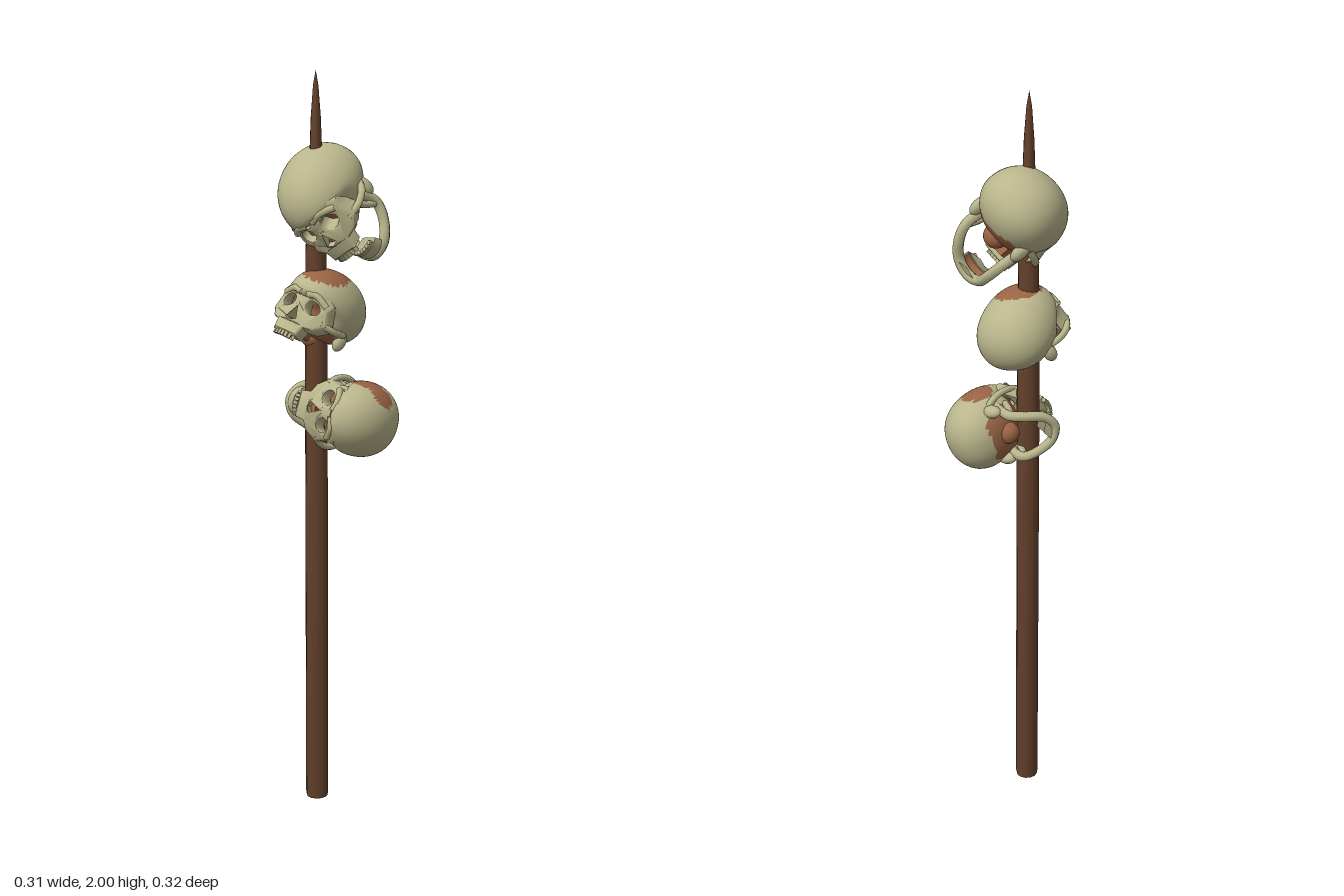
import * as THREE from 'three';
import { toCreasedNormals } from 'three/addons/utils/BufferGeometryUtils.js';

const V = (x, y, z) => new THREE.Vector3(x, y, z);
const mat = (name, color) => {
  const m = new THREE.MeshStandardMaterial({ color });
  m.name = name;
  return m;
};

function add(parent, name, geometry, material, x = 0, y = 0, z = 0) {
  const mesh = new THREE.Mesh(geometry, material);
  mesh.name = name;
  mesh.position.set(x, y, z);
  parent.add(mesh);
  return mesh;
}

// Moves every vertex by a rule
function warp(geometry, rule) {
  const p = geometry.attributes.position, v = V(0, 0, 0);
  for (let i = 0; i < p.count; i++) {
    rule(v.fromBufferAttribute(p, i));
    p.setXYZ(i, v.x, v.y, v.z);
  }
  geometry.computeVertexNormals();
  return geometry;
}

const tube = (points, r, n = 20) =>
  new THREE.TubeGeometry(new THREE.CatmullRomCurve3(points), n, r, 8, false);

// Splits the faces into material 0 and material 1 by a test on their centres
function paint(geometry, test) {
  const g = geometry.toNonIndexed(), p = g.attributes.position;
  const c = V(0, 0, 0), v = V(0, 0, 0);
  for (let i = 0; i < p.count; i += 3) {
    c.set(0, 0, 0);
    for (let k = 0; k < 3; k++) c.add(v.fromBufferAttribute(p, i + k));
    g.addGroup(i, 3, test(c.divideScalar(3)) ? 1 : 0);
  }
  return g;
}

// Braincase: slightly boxy, wide at the back, flat underneath, cut in behind the eyes
function craniumGeometry(patches) {
  const box = t => Math.sign(t) * Math.abs(t) ** 0.93;
  const g = warp(new THREE.SphereGeometry(1, 48, 32), v => {
    v.x = box(v.x) * 0.101 * (1 - 0.12 * v.z);
    v.y *= v.y < 0 ? 0.087 : 0.1 - 0.006 * v.z;
    v.z = box(v.z) * 0.124;
    if (v.y < -0.005 && v.z > 0) v.z *= 1 - 0.35 * Math.min(1, (-v.y - 0.005) / 0.025);
  });
  return paint(g, c => {
    const underside = c.y < -0.062 && c.z > -0.07;
    const sockets = c.y < -0.012 && c.z > 0.045 && Math.abs(c.x) < 0.07;
    const jag = 0.015 * Math.sin(c.x * 310 + c.z * 170) * Math.sin(c.y * 260);
    const d = c.clone().normalize();
    return underside || sockets || patches.some(p => d.dot(p.dir) + jag > p.cos);
  });
}

// Face plate with eye and nose openings, curved around the head
function faceGeometry() {
  const half = [[0.05, 0.012], [0.074, -0.008], [0.07, -0.03], [0.08, -0.062],
    [0.06, -0.084], [0.036, -0.09], [0.031, -0.117]];
  const outline = [...half, ...half.map(([x, y]) => [-x, y]).reverse()];
  const shape = new THREE.Shape(outline.map(([x, y]) => new THREE.Vector2(x, y)));
  for (const s of [-1, 1]) {
    const eye = new THREE.Path();
    eye.absellipse(s * 0.037, -0.036, 0.025, 0.022, 0, Math.PI * 2, false, -s * 0.3);
    shape.holes.push(eye);
  }
  shape.holes.push(new THREE.Path([[0, -0.046], [0.015, -0.08], [0, -0.086], [-0.015, -0.08]]
    .map(([x, y]) => new THREE.Vector2(x, y))));
  const g = new THREE.ExtrudeGeometry(shape, { depth: 0.034, bevelThickness: 0.006,
    bevelSize: 0.005, bevelSegments: 2, curveSegments: 7 });
  warp(g, v => {
    v.z += 0.075 - 5 * v.x * v.x + (v.y < -0.055 ? (-0.055 - v.y) * 0.05 : 0);
  });
  return toCreasedNormals(g, 0.7);
}

// Row of teeth along a curved arch
function addTeeth(parent, material, y, z) {
  for (let i = -3; i <= 3; i++) {
    const x = i * 0.0092;
    add(parent, 'tooth', new THREE.BoxGeometry(0.008, 0.014, 0.01), material,
      x, y, z - 12 * x * x).rotation.y = i * 0.2;
  }
}

function makeJaw(bone, flesh, open) {
  const jaw = new THREE.Group();
  jaw.name = 'lowerJaw';
  jaw.position.set(0, -0.05, 0);
  jaw.rotation.x = open;
  const side = s => [V(s * 0.068, 0, 0), V(s * 0.067, -0.065, 0.008),
    V(s * 0.058, -0.09, 0.04), V(s * 0.036, -0.102, 0.088)];
  add(jaw, 'jawBone', tube([...side(-1), V(0, -0.104, 0.106), ...side(1).reverse()], 0.013, 44), bone);
  for (const s of [-1, 1]) {
    add(jaw, 'jawHinge', new THREE.SphereGeometry(0.015, 10, 8), bone, s * 0.068, 0, 0);
    add(jaw, 'jawBlade', tube([V(s * 0.066, -0.065, 0.012), V(s * 0.064, -0.03, 0.024),
      V(s * 0.064, 0, 0.028)], 0.009, 8), bone);
  }
  // Upright chin wall with its gum on the inside
  for (const [name, r, m] of [['chin', 0.045, bone], ['lowerGum', 0.038, flesh]])
    add(jaw, name, new THREE.CylinderGeometry(r, r, 0.04, 16, 1, name === 'lowerGum', -1.1, 2.2), m,
      0, -0.09, 0.07);
  addTeeth(jaw, bone, -0.065, 0.109);
  return jaw;
}

function makeSkull(name, { at, forward, up, scale = 1, open, patches = [] }, mats) {
  const { bone, flesh } = mats;
  const skull = new THREE.Group();
  skull.name = name;
  const f = V(...forward).normalize();
  const s = V(...up).cross(f).normalize();
  const basis = new THREE.Matrix4().makeBasis(s, f.clone().cross(s), f);
  skull.quaternion.setFromRotationMatrix(basis);
  skull.position.set(...at);
  skull.scale.setScalar(scale);
  const inverse = skull.quaternion.clone().invert();
  const local = patches.map(([x, y, z, cos]) =>
    ({ dir: V(x, y, z).normalize().applyQuaternion(inverse), cos }));

  add(skull, 'cranium', craniumGeometry(local), [bone, flesh]);
  add(skull, 'face', faceGeometry(), bone);
  add(skull, 'palate', new THREE.BoxGeometry(0.054, 0.03, 0.06), flesh, 0, -0.092, 0.06);
  add(skull, 'skullBase', new THREE.SphereGeometry(0.03, 14, 10), flesh, 0, -0.08, -0.015);
  addTeeth(skull, bone, -0.126, 0.111);
  for (const k of [-1, 1]) {
    add(skull, 'cheekArch', tube([V(k * 0.068, -0.062, 0.085), V(k * 0.09, -0.06, 0.05),
      V(k * 0.094, -0.052, 0.01), V(k * 0.082, -0.045, -0.02)], 0.009, 12), bone);
    add(skull, 'earBone', new THREE.SphereGeometry(0.02, 10, 8), bone, k * 0.075, -0.062, -0.03)
      .scale.set(0.8, 1.4, 1);
    add(skull, 'browRidge', tube([V(k * 0.008, -0.008, 0.115), V(k * 0.035, -0.003, 0.11),
      V(k * 0.066, -0.018, 0.091)], 0.009, 8), bone);
  }
  if (open !== undefined) skull.add(makeJaw(bone, flesh, open));
  return skull;
}

export function createModel() {
  const group = new THREE.Group();
  group.name = 'skullPike';
  const mats = { bone: mat('bone', 0xb9b58c), flesh: mat('driedFlesh', 0x9a6445) };
  mats.bone.side = mats.flesh.side = THREE.DoubleSide;
  const wood = mat('wood', 0x63402b);

  // Sharpened pole
  const profile = [[0, 0], [0.029, 0], [0.031, 0.012], [0.03, 1.2], [0.027, 1.55],
    [0.016, 1.8], [0.013, 1.88], [0.007, 1.96], [0, 2]].map(([x, y]) => new THREE.Vector2(x, y));
  add(group, 'pole', toCreasedNormals(new THREE.LatheGeometry(profile, 12), 0.8), wood, -0.045, 0, 0.015);

  // Top skull bows forward, the middle one looks up, the low one lies on its side
  group.add(
    makeSkull('topSkull', { at: [-0.038, 1.688, 0.002], forward: [0.25, -0.5, 0.83],
      up: [-0.5, 0.7, 0.5], scale: 1.1, open: 0.55 }, mats),
    makeSkull('middleSkull', { at: [-0.036, 1.382, -0.008], forward: [0.1, 0.52, 0.8],
      up: [0.2, 0.8, -0.55], patches: [[0.22, 1, 0.12, 0.81]] }, mats),
    makeSkull('lowSkull', { at: [0.053, 1.09, -0.033], forward: [0.03, 0.28, 0.95],
      up: [0.97, -0.12, 0], open: 0.5,
      patches: [[0.72, 0.65, -0.12, 0.94], [0.2, 0.95, -0.2, 0.91]] }, mats));
  return group;
}
